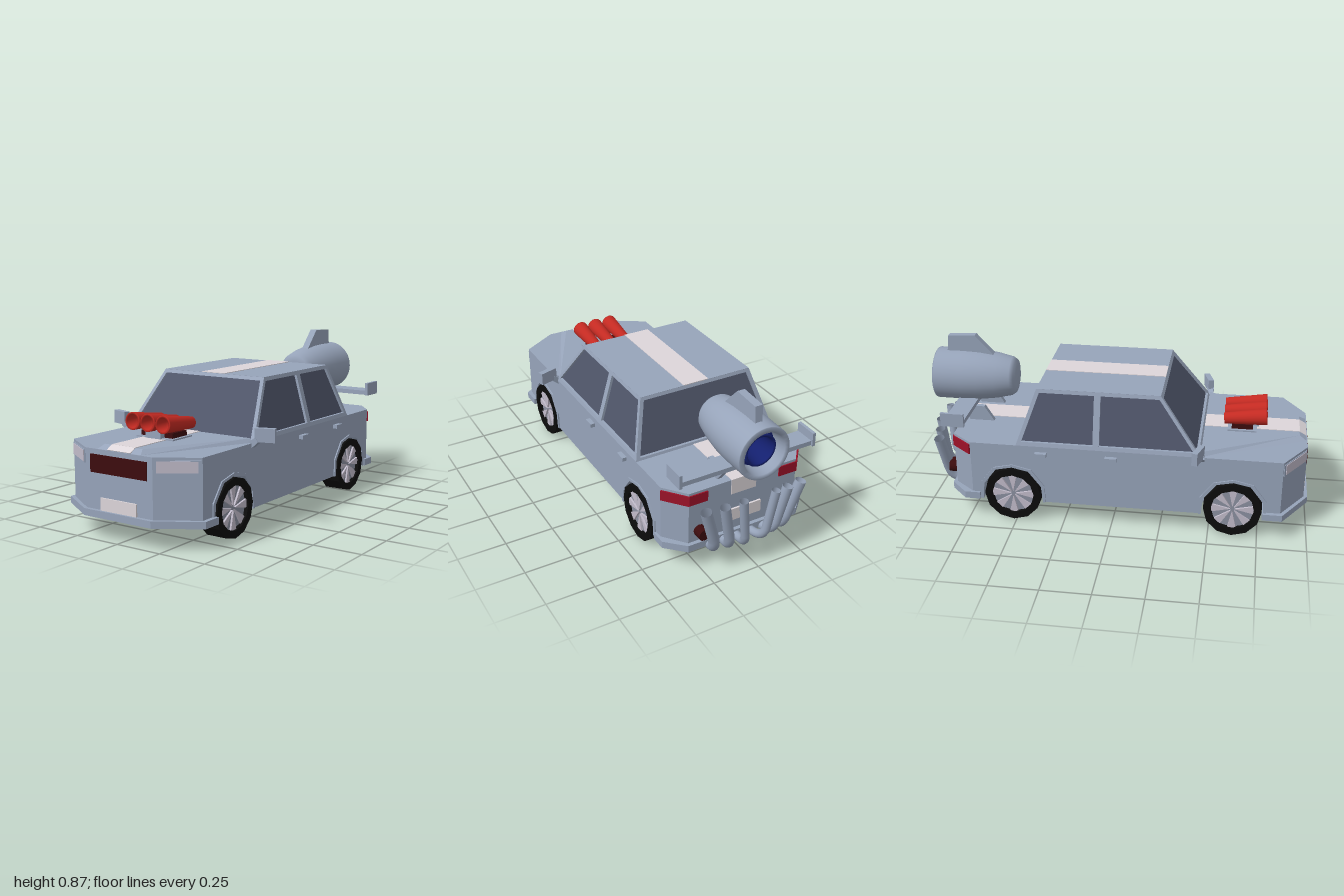
import * as THREE from 'three';

const mat = (color, side = THREE.FrontSide) => new THREE.MeshStandardMaterial({ color, side });
const paint = mat(0x97a4ba), white = mat(0xddd6da), glass = mat(0x50566a), black = mat(0x0c0c0c);
const red = mat(0xc42a22), darkRed = mat(0x3c0c0e), tailRed = mat(0x9c1228), lilac = mat(0xc2bccb);
const rimGrey = mat(0x8b90a0), pipeMetal = mat(0x97a4ba, THREE.DoubleSide);
const blue = mat(0x142070, THREE.DoubleSide);
const SIDES = [1, -1];

export function createModel() {
  const root = new THREE.Group();

  const add = (name, geo, material, parent = root) => {
    const m = new THREE.Mesh(geo, material);
    m.name = name;
    parent.add(m);
    return m;
  };
  const box = (name, x0, x1, y0, y1, z0, z1, material) => {
    const m = add(name, new THREE.BoxGeometry(x1 - x0, y1 - y0, z1 - z0), material);
    m.position.set((x0 + x1) / 2, (y0 + y1) / 2, (z0 + z1) / 2);
    return m;
  };
  // thin upright slab along a line in plan
  const slab = (name, [x0, z0], [x1, z1], y0, y1, t, material) => {
    const g = new THREE.BoxGeometry(Math.hypot(x1 - x0, z1 - z0), y1 - y0, t);
    const m = add(name, g, material);
    m.position.set((x0 + x1) / 2, (y0 + y1) / 2, (z0 + z1) / 2);
    m.rotation.y = Math.atan2(z0 - z1, x1 - x0);
    return m;
  };
  const shapeOf = (pts, holes = []) => {
    const s = new THREE.Shape(pts.map(p => new THREE.Vector2(...p)));
    holes.forEach(h => s.holes.push(new THREE.Path(h.map(p => new THREE.Vector2(...p)))));
    return s;
  };
  // extrude a flat shape, move each vertex by a rule, keep faces outward
  const warped = (pts, depth, rule, holes) => {
    const raw = new THREE.ExtrudeGeometry(shapeOf(pts, holes), { depth, bevelEnabled: false, steps: 1 });
    const g = raw.index ? raw.toNonIndexed() : raw;
    const p = g.attributes.position, v = [0, 1, 2].map(() => new THREE.Vector3());
    let volume = 0;
    for (let i = 0; i < p.count; i++) p.setXYZ(i, ...rule(p.getX(i), p.getY(i), p.getZ(i)));
    for (let i = 0; i < p.count; i += 3) {
      v.forEach((q, k) => q.fromBufferAttribute(p, i + k));
      volume += v[0].dot(v[1].clone().cross(v[2]));
    }
    if (volume < 0) for (let i = 0; i < p.count; i += 3) {
      v.forEach((q, k) => q.fromBufferAttribute(p, i + k));
      p.setXYZ(i + 1, v[2].x, v[2].y, v[2].z);
      p.setXYZ(i + 2, v[1].x, v[1].y, v[1].z);
    }
    g.computeVertexNormals();
    return g;
  };
  // symmetric plan outline raised from y0 to y1
  const prism = (half, y0, y1) => {
    const pts = [...half, ...half.map(([x, z]) => [-x, z]).reverse()];
    return warped(pts, y1 - y0, (a, b, c) => [a, y0 + c, b]);
  };

  // lower body: core, nose, tail and side panels with wheel arches
  const WHEEL_Z = [0.62, -0.515];
  box('bodyCore', -0.27, 0.27, 0.11, 0.43, -0.73, 0.86, paint);
  add('nose', prism([[0.39, 0.86], [0.2, 0.98]], 0.11, 0.43), paint);
  add('tail', prism([[0.39, -0.73], [0.3, -0.84]], 0.11, 0.43), paint);
  const arch = [[-0.158, 0.11], [-0.15, 0.2], [-0.085, 0.285], [0, 0.303], [0.085, 0.285], [0.15, 0.2], [0.158, 0.11]];
  const archOuter = [[0.172, 0.11], [0.168, 0.205], [0.1, 0.295], [0, 0.318], [-0.1, 0.295], [-0.168, 0.205], [-0.172, 0.11]];
  const at = (pts, z) => pts.map(([a, b]) => [a + z, b]);
  const sidePts = [[-0.73, 0.11], ...at(arch, WHEEL_Z[1]), ...at(arch, WHEEL_Z[0]), [0.86, 0.11], [0.86, 0.43], [-0.73, 0.43]];
  for (const s of SIDES) {
    add('sidePanel', warped(sidePts, 0.12, (a, b, c) => [s * (0.27 + c), b, a]), paint);
    for (const z of WHEEL_Z)
      add('archTrim', warped(at([...arch, ...archOuter], z), 0.03, (a, b, c) => [s * (0.367 + c), b, a]), paint);
    for (const z of [0, -0.36]) box('doorHandle', s * 0.4 - 0.014, s * 0.4 + 0.014, 0.38, 0.4, z - 0.03, z + 0.03, paint);
  }

  // raised bonnet with sloping edges
  const bonnetHalf = [[0.385, 0.45], [0.13, 0.975]];
  add('bonnet', warped([...bonnetHalf, [-0.13, 0.975], [-0.385, 0.45]], 0.02, (a, b, c) => {
    const k = c > 0.01;
    return [k ? Math.sign(a) * (Math.abs(a) - 0.018) : a, 0.43 + c, k && b > 0.9 ? 0.94 : b];
  }), paint);
  add('frontBumper', prism([[0.412, 0.77], [0.412, 0.87], [0.2, 1.0]], 0.108, 0.142), paint);
  add('rearBumper', prism([[0.403, -0.69], [0.403, -0.77], [0.31, -0.86]], 0.108, 0.145), paint);

  // cabin: sheared window frames around a dark glass core
  const halfW = y => 0.39 - (y - 0.43) * 0.28;
  const frontZ = y => 0.45 - (y - 0.43) * 0.737;
  const rearZ = y => -0.49 + (y - 0.43) * 0.351;
  const cabinSide = [[0.45, 0.43], [0.24, 0.715], [-0.39, 0.715], [-0.49, 0.43]];
  const windows = [
    [[0.415, 0.45], [0.235, 0.697], [-0.062, 0.697], [-0.062, 0.45]],
    [[-0.095, 0.45], [-0.095, 0.697], [-0.375, 0.697], [-0.462, 0.45]]];
  for (const s of SIDES)
    add('sideWindowFrame', warped(cabinSide, 0.02, (a, b, c) => [s * (halfW(b) - c), b, a], windows), paint);
  const screen = [[-0.39, 0.43], [0.39, 0.43], [0.31, 0.715], [-0.31, 0.715]];
  const screenHole = [[-0.365, 0.443], [0.365, 0.443], [0.296, 0.699], [-0.296, 0.699]];
  add('windscreenFrame', warped(screen, 0.02, (a, b, c) => [a, b, frontZ(b) - c], [screenHole]), paint);
  add('rearScreenFrame', warped(screen, 0.02, (a, b, c) => [a, b, rearZ(b) + c], [screenHole]), paint);
  add('windowGlass', warped([[-1, 0.43], [1, 0.43], [1, 0.705], [-1, 0.705]], 1,
    (a, b, c) => [a * (halfW(b) - 0.014), b, c > 0.5 ? frontZ(b) - 0.014 : rearZ(b) + 0.014]), glass);
  box('roof', -0.31, 0.31, 0.699, 0.716, -0.39, 0.24, paint);

  // white stripe over bonnet, roof, boot and tail
  box('bonnetStripe', -0.07, 0.07, 0.44, 0.453, 0.45, 0.94, white);
  const lip = box('bonnetLipStripe', -0.07, 0.07, -0.002, 0.002, -0.02, 0.02, white);
  lip.position.set(0, 0.441, 0.958);
  lip.rotation.x = 0.52;
  box('roofStripe', -0.07, 0.07, 0.71, 0.719, -0.39, 0.24, white);
  box('bootStripe', -0.07, 0.07, 0.42, 0.433, -0.843, -0.49, white);
  box('tailStripe', -0.07, 0.07, 0.35, 0.433, -0.844, -0.83, white);

  // grille, plates and lights
  box('grille', -0.17, 0.17, 0.318, 0.405, 0.97, 0.984, darkRed);
  box('frontPlate', -0.108, 0.108, 0.137, 0.203, 0.97, 0.988, white);
  box('rearPlate', -0.1, 0.1, 0.2, 0.265, -0.85, -0.83, white);
  for (const s of SIDES) {
    slab('headlightFrame', [s * 0.207, 0.976], [s * 0.387, 0.862], 0.355, 0.417, 0.008, paint);
    slab('headlight', [s * 0.215, 0.971], [s * 0.375, 0.87], 0.36, 0.413, 0.014, lilac);
    slab('tailLightCorner', [s * 0.39, -0.733], [s * 0.3, -0.842], 0.363, 0.417, 0.012, tailRed);
    slab('tailLight', [s * 0.302, -0.84], [s * 0.2, -0.84], 0.363, 0.417, 0.012, tailRed);
    for (const [x, y] of [[0.2, 0.2], [0.242, 0.205]]) {
      const g = new THREE.CylinderGeometry(0.03, 0.03, 0.06, 12).rotateX(Math.PI / 2);
      add('roundTailLamp', g, darkRed).position.set(s * x, y, -0.862);
    }
  }

  // door mirrors on angled arms
  for (const s of SIDES) {
    slab('mirror', [s * 0.4, 0.455], [s * 0.496, 0.425], 0.438, 0.505, 0.03, paint);
    add('mirrorArm', warped([[0.365, 0.432], [0.388, 0.405], [0.425, 0.438], [0.41, 0.46]], 0.035,
      (a, b, c) => [s * a, b, 0.435 + c]), paint);
  }

  // wheels: chunky tyre, disc and wedge spokes
  const tyreProfile = [[0.11, -0.055], [0.148, -0.055], [0.148, 0.055], [0.11, 0.055], [0.11, -0.055]].map(p => new THREE.Vector2(...p));
  for (const s of SIDES) for (const z of WHEEL_Z) {
    const wheel = new THREE.Group();
    wheel.name = 'wheel';
    wheel.position.set(s * 0.345, 0.148, z);
    const tyre = new THREE.LatheGeometry(tyreProfile, 12).toNonIndexed();
    tyre.computeVertexNormals();
    add('tyre', tyre.rotateZ(Math.PI / 2), black, wheel);
    add('rimDisc', new THREE.CylinderGeometry(0.112, 0.112, 0.07, 12).rotateZ(Math.PI / 2), rimGrey, wheel);
    for (let i = 0; i < 8; i++) {
      const a = i * Math.PI / 4, p = (r, t) => [r * Math.cos(t), r * Math.sin(t)];
      const wedge = [p(0.012, a), p(0.11, a - 0.2), p(0.11, a + 0.2)];
      add('spoke', warped(wedge, 0.09, (u, v, c) => [c - 0.045, v, u]), lilac, wheel);
    }
    root.add(wheel);
  }

  // intake: plinth with three flared red trumpets
  box('intakePlate', -0.112, 0.112, 0.445, 0.457, 0.57, 0.72, paint);
  box('intakeBlock', -0.045, 0.045, 0.45, 0.495, 0.58, 0.73, paint);
  box('intakeSides', -0.095, 0.095, 0.455, 0.482, 0.59, 0.7, darkRed);
  const trumpet = [[0, -0.11], [0.029, -0.11], [0.043, 0.105], [0.043, 0.11], [0.033, 0.11], [0.03, 0.05], [0, 0.05]].map(p => new THREE.Vector2(...p));
  for (const x of [-0.092, 0, 0.092]) {
    const m = add('intakeTrumpet', new THREE.LatheGeometry(trumpet, 20), red);
    m.position.set(x, 0.524, 0.66);
    m.rotation.x = Math.PI / 2 - 0.09;
  }

  // rear wing on two struts
  box('wing', -0.365, 0.365, 0.508, 0.532, -0.87, -0.765, paint);
  for (const s of SIDES) {
    box('wingEndPlate', s * 0.368 - 0.008, s * 0.368 + 0.008, 0.505, 0.577, -0.88, -0.76, paint);
    add('wingStrut', warped([[-0.67, 0.43], [-0.8, 0.43], [-0.86, 0.51], [-0.72, 0.51]], 0.025,
      (a, b, c) => [s * (0.1 + c), b, a]), paint);
  }

  // jet engine with hollow nozzle and top fin
  const jet = [[0, 0.01], [0.06, 0.008], [0.09, 0], [0.104, -0.02], [0.122, -0.1], [0.134, -0.19], [0.138, -0.28],
    [0.137, -0.42], [0.135, -0.425], [0.11, -0.425], [0.098, -0.36], [0.098, -0.34]].map(p => new THREE.Vector2(...p));
  const along = g => g.rotateX(Math.PI / 2).translate(0, 0.642, -0.568);
  add('jetEngine', along(new THREE.LatheGeometry(jet, 32)), pipeMetal);
  const nozzle = [[0.1, -0.35], [0.084, -0.35], [0.084, -0.39], [0.07, -0.39], [0.06, -0.28], [0, -0.28]].map(p => new THREE.Vector2(...p));
  add('jetNozzle', along(new THREE.LatheGeometry(nozzle, 32)), blue);
  add('jetFin', warped([[-0.67, 0.75], [-0.78, 0.868], [-0.925, 0.86], [-0.935, 0.75]], 0.04,
    (a, b, c) => [c - 0.02, b, a]), paint);

  // six side-exhaust pipes sweeping up and fanning outward
  for (const s of SIDES)
    for (const [x0, x1, y, z, r] of [[0.185, 0.265, 0.375, -0.935, 0.028], [0.112, 0.175, 0.385, -0.955, 0.026], [0.04, 0.09, 0.405, -0.98, 0.022]]) {
      const P = (a, b, c) => new THREE.Vector3(s * a, b, c);
      const path = new THREE.CurvePath();
      const bend = P(x0 + 0.008, 0.113, z + 0.03);
      const p1 = P(x0, 0.113, -0.85), p2 = P(x0 + 0.02, 0.18, z + 0.02);
      path.add(new THREE.LineCurve3(P(x0, 0.113, -0.7), p1));
      path.add(new THREE.QuadraticBezierCurve3(p1, bend, p2));
      path.add(new THREE.LineCurve3(p2, P(x1, y, z)));
      add('exhaustPipe', new THREE.TubeGeometry(path, 28, r, 12), pipeMetal);
    }

  return root;
}
